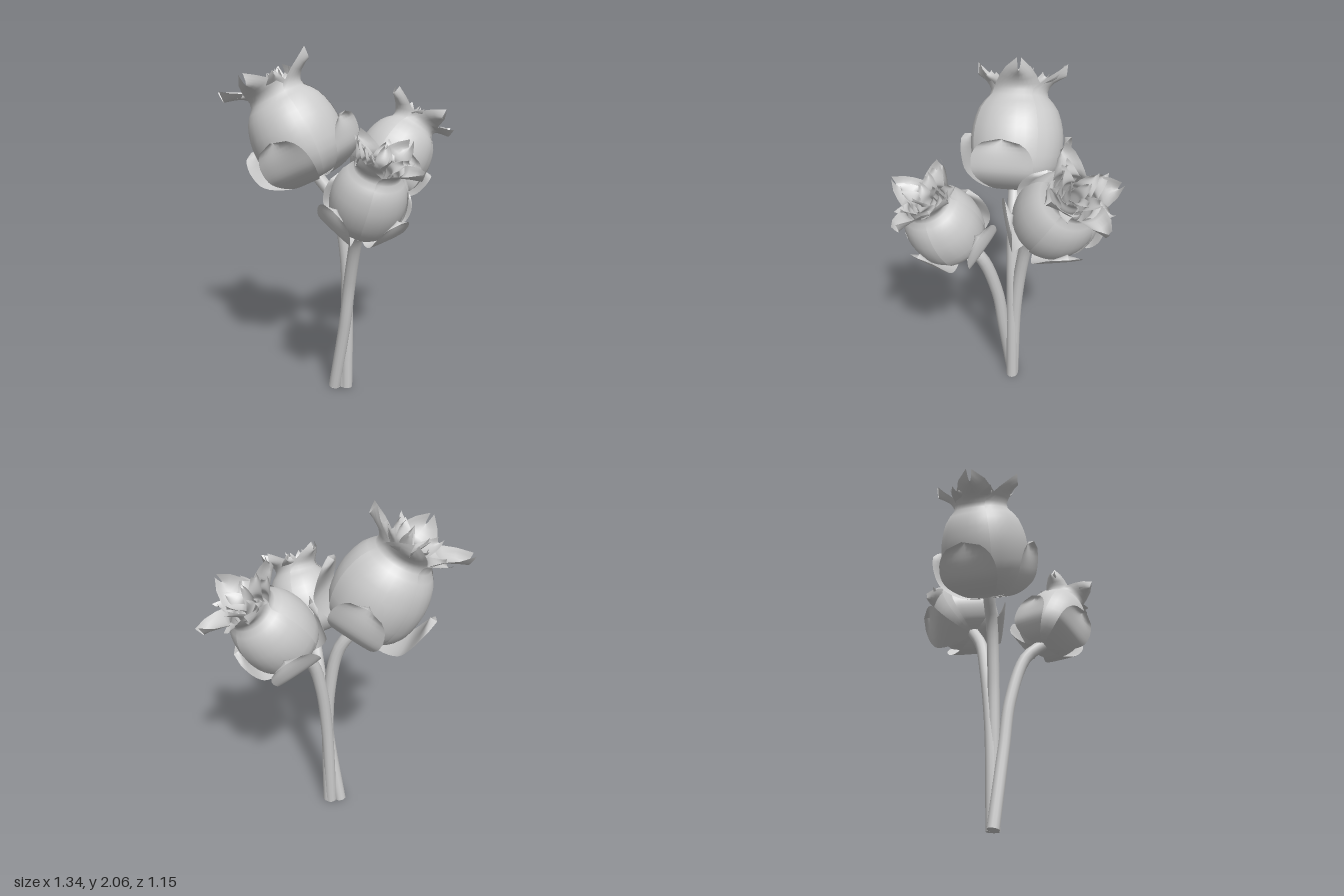
import * as THREE from 'three';

const grey = new THREE.MeshStandardMaterial({ color: 0xcccccc, side: THREE.DoubleSide });
const rad = THREE.MathUtils.degToRad;

// Small seeded generator for slight variation between petals
function seeded(seed) {
  return () => (seed = (seed * 16807) % 2147483647) / 2147483647;
}

// Curved patch around the y axis: profile of [radius, height], half angle along its length,
// skew (one edge further out, so neighbours overlap), edge curl outwards and tip edges lifted.
function petal(name, profile, angle, halfAngle, { skew = 0, curl = 0, lift = 0 }) {
  const rows = 18, cols = 10, pos = [], idx = [];
  const curve = new THREE.CatmullRomCurve3(profile.map(([r, y]) => new THREE.Vector3(r, y, 0)));
  for (let j = 0; j <= rows; j++) {
    const t = j / rows, p = curve.getPoint(t), w = halfAngle(t);
    for (let i = 0; i <= cols; i++) {
      const s = (i / cols) * 2 - 1, a = angle + s * w;
      const r = p.x * (1 + skew * s + curl * s * s);
      pos.push(r * Math.cos(a), p.y + lift * s * s * Math.pow(t, 8), r * Math.sin(a));
      if (i < cols && j < rows) {
        const k = j * (cols + 1) + i, n = k + cols + 1;
        idx.push(k, n, k + 1, k + 1, n, n + 1);
      }
    }
  }
  const geo = new THREE.BufferGeometry();
  geo.setAttribute('position', new THREE.Float32BufferAttribute(pos, 3));
  geo.setIndex(idx);
  geo.computeVertexNormals();
  const mesh = new THREE.Mesh(geo, grey);
  mesh.name = name;
  return mesh;
}

// Full width up to t0, then tapering to a narrow end
const pointed = (w, t0) => (t) => (t < t0 ? w : w * (0.04 + 0.96 * Math.pow((1 - t) / (1 - t0), 0.9)));
const rounded = (w) => (t) => w * Math.sqrt(Math.max(0, 1 - Math.pow(t, 6)));

// Flower bud of unit radius, growing along +y
function flower(tips, sepalTurn, seed) {
  const g = new THREE.Group(), rnd = seeded(seed);
  const vary = (v, d) => v + (rnd() - 0.5) * d;

  // Outer petals form the bulb, with tips bent outwards
  tips.forEach((deg, k) => {
    g.add(petal('outerPetal', [
      [0.08, 0], [0.55, 0.08], [0.87, 0.42], [0.96, 0.85], [0.94, 1.25],
      [0.8, 1.66], [0.58, 1.94], [0.68, 2.14], [k === 0 ? 1.16 : vary(0.96, 0.1), 2.3],
    ], rad(deg), pointed(1.03, 0.76), { skew: 0.03, lift: 0.25 }));
  });

  // Inner rings of jagged petals
  [[0.5, 0.76, 2.24, 5], [0.34, 0.54, 2.3, 4], [0.18, 0.32, 2.3, 3]].forEach(([r, out, top, n], ring) => {
    for (let k = 0; k < n; k++) {
      const a = rad(tips[0]) + ((k + 0.5 + ring * 0.3) * Math.PI * 2) / n + vary(0, 0.4);
      g.add(petal('innerPetal', [
        [r * 0.95, 1.55], [r * 1.05, 1.8], [r, 2.02], [vary(out, 0.2), vary(top, 0.14)],
      ], a, pointed(3.5 / n, 0.6), { skew: 0.12, lift: 0.1 }));
    }
  });

  // Cupped sepals at the base of the bulb, alternately open and close
  for (let k = 0; k < 4; k++) {
    const out = k % 2 ? 1.01 : 1.1;
    g.add(petal('sepal', [
      [0.08, -0.02], [0.55, 0.02], [0.9 * out, 0.3], [out, 0.65], [out * 0.99, vary(1.06, 0.1)],
    ], rad(sepalTurn) + (k * Math.PI) / 2, rounded(0.56), { curl: 0.15 }));
  }
  return g;
}

// Even stem with closed ends
function stem(points) {
  const g = new THREE.Group(), radius = 0.036;
  const curve = new THREE.CatmullRomCurve3(points.map((p) => new THREE.Vector3(...p)));
  g.add(new THREE.Mesh(new THREE.TubeGeometry(curve, 24, radius, 12), grey));
  for (const t of [0, 1]) {
    const cap = new THREE.Mesh(new THREE.CircleGeometry(radius, 12), grey);
    cap.position.copy(curve.getPoint(t));
    cap.quaternion.setFromUnitVectors(new THREE.Vector3(0, 0, 1), curve.getTangent(t).multiplyScalar(t ? 1 : -1));
    g.add(cap);
  }
  g.name = 'stem';
  return g;
}

export function createModel() {
  const model = new THREE.Group();
  const blooms = [
    { name: 'largeFlower', size: 0.268, axis: [-0.45, 0.89, -0.02], tips: [180, 105, 0, -85], sepalTurn: 13, seed: 11,
      path: [[0.095, 0.01, -0.04], [0.095, 0.5, -0.04], [0.08, 0.9, -0.04], [0.02, 1.2, -0.04], [-0.09, 1.35, -0.04]] },
    { name: 'frontFlower', size: 0.205, axis: [0.28, 0.86, 0.33], tips: [25, 125, 215, 305], sepalTurn: -55, seed: 23,
      path: [[0.02, 0.01, -0.03], [0.09, 0.45, 0.015], [0.125, 0.75, 0.05], [0.175, 1.04, 0.14], [0.21, 1.14, 0.245]] },
    { name: 'backFlower', size: 0.218, axis: [0.45, 0.81, -0.36], tips: [-35, -110, 50, 145], sepalTurn: 70, seed: 37,
      path: [[0.08, 0.01, -0.045], [0.095, 0.6, -0.06], [0.12, 0.95, -0.095], [0.16, 1.14, -0.13], [0.24, 1.275, -0.2]] },
  ];
  for (const b of blooms) {
    model.add(stem(b.path));
    const axis = new THREE.Vector3(...b.axis).normalize();
    const f = flower(b.tips, b.sepalTurn, b.seed);
    f.name = b.name;
    f.scale.setScalar(b.size);
    f.quaternion.setFromUnitVectors(new THREE.Vector3(0, 1, 0), axis);
    f.position.set(...b.path[4]).addScaledVector(axis, -0.015);
    model.add(f);
  }
  return model;
}
